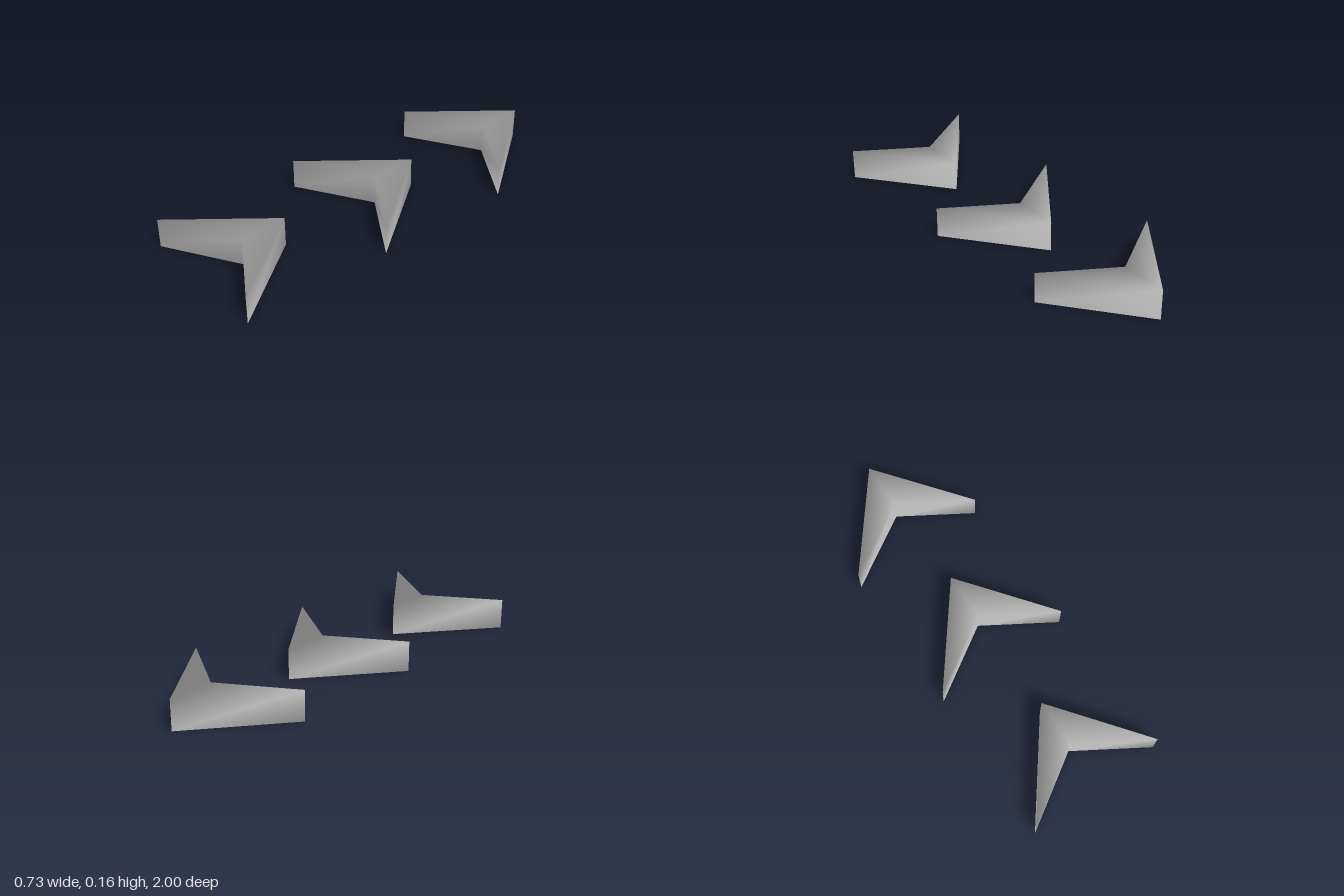
import * as THREE from 'three';

const HEIGHT = 0.158;

// Arrowhead prism, outline [x, z]: right wing, notch, left wing, tip
function chevronGeometry() {
  const outline = [[-0.358, 0.469], [0.01, 0.24], [0.359, 0.46], [0.013, 0]];
  const n = outline.length;
  const positions = [0, HEIGHT].flatMap((y) => outline.flatMap(([x, z]) => [x, y, z]));

  const walls = [];
  for (let a = 0; a < n; a++) {
    const b = (a + 1) % n;
    walls.push(a, b, b + n, a, b + n, a + n);
  }
  const geometry = new THREE.BufferGeometry();
  geometry.setAttribute('position', new THREE.Float32BufferAttribute(positions, 3));

  // Smooth the walls around the outline, then close both ends on the same corners
  geometry.setIndex(walls);
  geometry.computeVertexNormals();
  const top = [0, 1, 3, 1, 2, 3].map((i) => i + n);
  const bottom = [0, 3, 1, 1, 3, 2];
  geometry.setIndex([...walls, ...top, ...bottom]);
  return geometry;
}

export function createModel() {
  const group = new THREE.Group();
  group.name = 'chevronRow';
  const material = new THREE.MeshStandardMaterial({ color: 0xcccccc });
  const geometry = chevronGeometry();

  // Three chevrons in a row, all pointing to the back
  const places = [['backChevron', 0.005, -1], ['middleChevron', 0.005, -0.254], ['frontChevron', -0.007, 0.531]];
  for (const [name, x, z] of places) {
    const chevron = new THREE.Mesh(geometry, material);
    chevron.name = name;
    chevron.position.set(x, 0, z);
    group.add(chevron);
  }
  return group;
}
